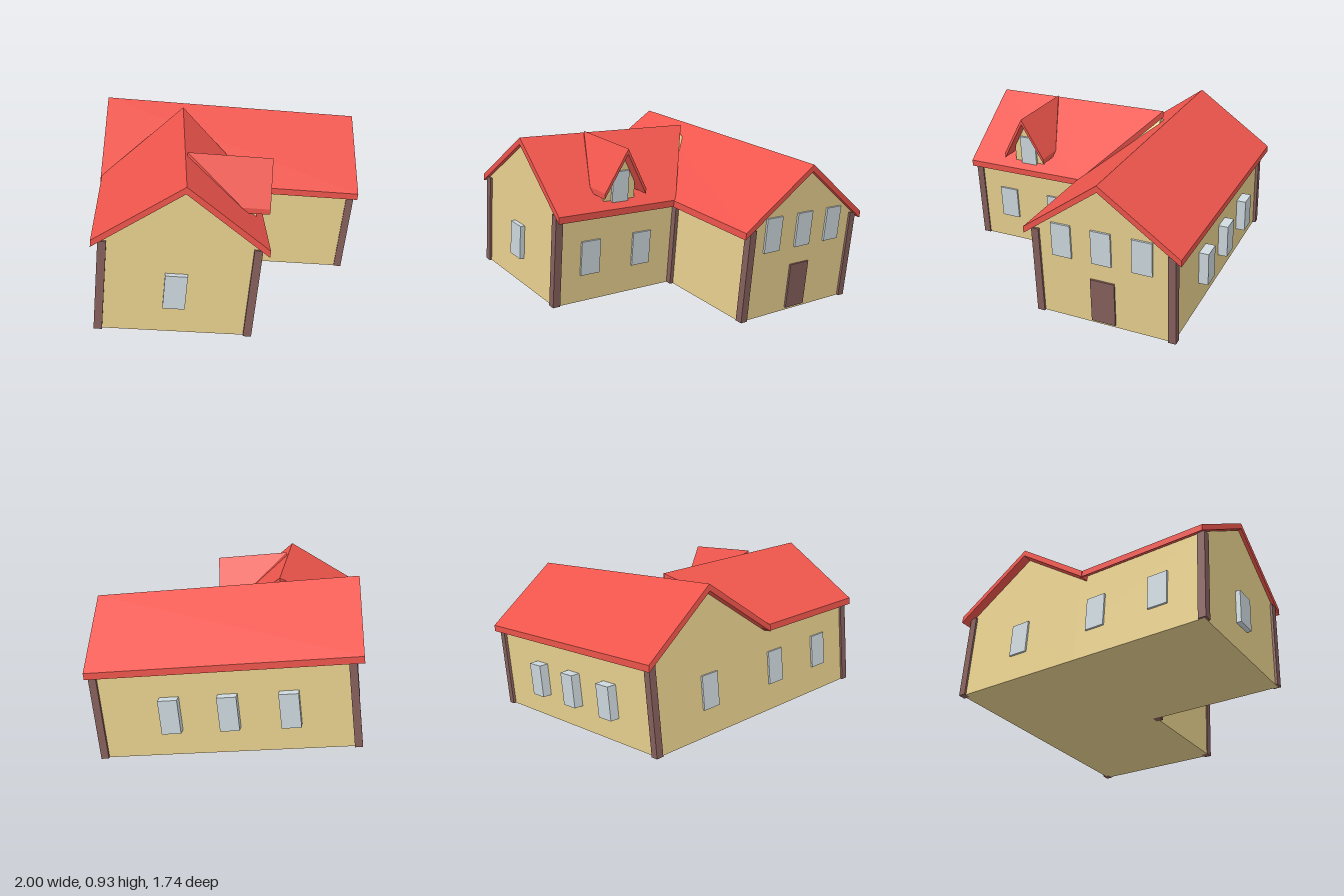
import * as THREE from 'three';

const mat = (color) => new THREE.MeshStandardMaterial({ color, flatShading: true });

export function createModel() {
  const wallMat = mat(0xe8d08e), roofMat = mat(0xee554c), postMat = mat(0x86605c), glassMat = mat(0xcdd8dd);

  function add(parent, name, geometry, material, x = 0, y = 0, z = 0) {
    const mesh = new THREE.Mesh(geometry, material);
    mesh.name = name;
    mesh.position.set(x, y, z);
    parent.add(mesh);
    return mesh;
  }

  // Gabled wall block, ridge along z
  function gabledWalls(half, base, top, apex, z0, z1) {
    const s = new THREE.Shape();
    s.moveTo(-half, base);
    s.lineTo(half, base);
    s.lineTo(half, top);
    s.lineTo(0, apex);
    s.lineTo(-half, top);
    s.closePath();
    return new THREE.ExtrudeGeometry(s, { depth: z1 - z0, bevelEnabled: false }).translate(0, 0, z0);
  }

  // One roof slope: a box stretched from ridge to eave, its inner end cut on a slant
  function roofSlope(side, r) {
    const g = new THREE.BoxGeometry(1, 1, 1), p = g.attributes.position;
    for (let i = 0; i < p.count; i++) {
      const t = 0.5 + side * p.getX(i);
      const y = r.ridge + (r.eave - r.ridge) * t - (p.getY(i) < 0 ? r.thick : 0);
      const z = p.getZ(i) > 0 ? r.end : r.innerRidge + (r.innerEave - r.innerRidge) * t;
      p.setXYZ(i, side * r.half * t, y, z);
    }
    g.computeVertexNormals();
    return g;
  }

  function wing(parent, name, walls, roof) {
    const g = new THREE.Group();
    g.name = name;
    add(g, name + 'Walls', gabledWalls(...walls), wallMat);
    for (const side of [-1, 1]) add(g, name + 'RoofSlope', roofSlope(side, roof), roofMat);
    parent.add(g);
    return g;
  }

  const house = new THREE.Group();
  house.name = 'house';

  // Main wing, ridge along x
  const main = wing(house, 'mainWing', [0.372, 0, 0.48, 0.745, -1.342, -0.012],
    { half: 0.417, ridge: 0.782, eave: 0.483, thick: 0.035, innerRidge: -1.39, innerEave: -1.39, end: 0.01 });
  main.rotation.y = Math.PI / 2;
  main.position.z = -0.367;

  // Side wing, ridge along z, cut where it meets the main roof
  const side = wing(house, 'sideWing', [0.372, 0, 0.48, 0.745, -0.28, 0.725],
    { half: 0.415, ridge: 0.784, eave: 0.486, thick: 0.035, innerRidge: -0.29, innerEave: 0.04, end: 0.742 });
  side.position.x = -0.97;

  // Dormer on the side wing
  const dormer = wing(house, 'dormer', [0.092, 0.5, 0.6, 0.765, -0.8, -0.6],
    { half: 0.124, ridge: 0.795, eave: 0.578, thick: 0.028, innerRidge: -0.96, innerEave: -0.68, end: -0.54 });
  dormer.rotation.y = Math.PI / 2;
  dormer.position.z = 0.373;

  // Corner posts
  const post = new THREE.BoxGeometry(0.04, 0.48, 0.04);
  for (const [x, z] of [[-0.02, -0.01], [-0.02, -0.735], [-1.333, -0.735], [-1.333, 0.717], [-0.61, 0.717], [-0.585, 0.005]])
    add(house, 'cornerPost', post, postMat, x, 0.24, z);

  // Windows and door: panels facing along x or z
  const panel = (name, m, alongX, w, h, x, y, z, d = 0.02) =>
    add(house, name, new THREE.BoxGeometry(alongX ? d : w, h, alongX ? w : d), m, x, y, z);
  for (const z of [-0.152, -0.367, -0.582]) panel('gableWindow', glassMat, true, 0.106, 0.18, -0.012, 0.44, z);
  for (const x of [-0.4, -0.7, -1.01]) panel('backWindow', glassMat, false, 0.1, 0.18, x, 0.225, -0.76, 0.06);
  for (const z of [0.22, 0.53]) panel('innerWindow', glassMat, true, 0.11, 0.18, -0.598, 0.235, z);
  for (const z of [-0.37, 0.12, 0.48]) panel('leftWindow', glassMat, true, 0.106, 0.18, -1.342, 0.235, z);
  panel('sideGableWindow', glassMat, false, 0.106, 0.18, -0.98, 0.235, 0.73, 0.04);
  panel('dormerWindow', glassMat, true, 0.095, 0.16, -0.598, 0.59, 0.373);
  panel('door', postMat, true, 0.13, 0.24, -0.012, 0.135, -0.367);

  // The whole house is turned and slightly tilted
  const m = new THREE.Matrix4().makeBasis(
    new THREE.Vector3(0.841, -0.1006, 0.5316),
    new THREE.Vector3(0.0957, 0.9946, 0.0369),
    new THREE.Vector3(-0.5325, 0.0199, 0.846));
  m.setPosition(0.53, 0.015, 0.51);
  house.applyMatrix4(m);

  const root = new THREE.Group();
  root.add(house);
  return root;
}
